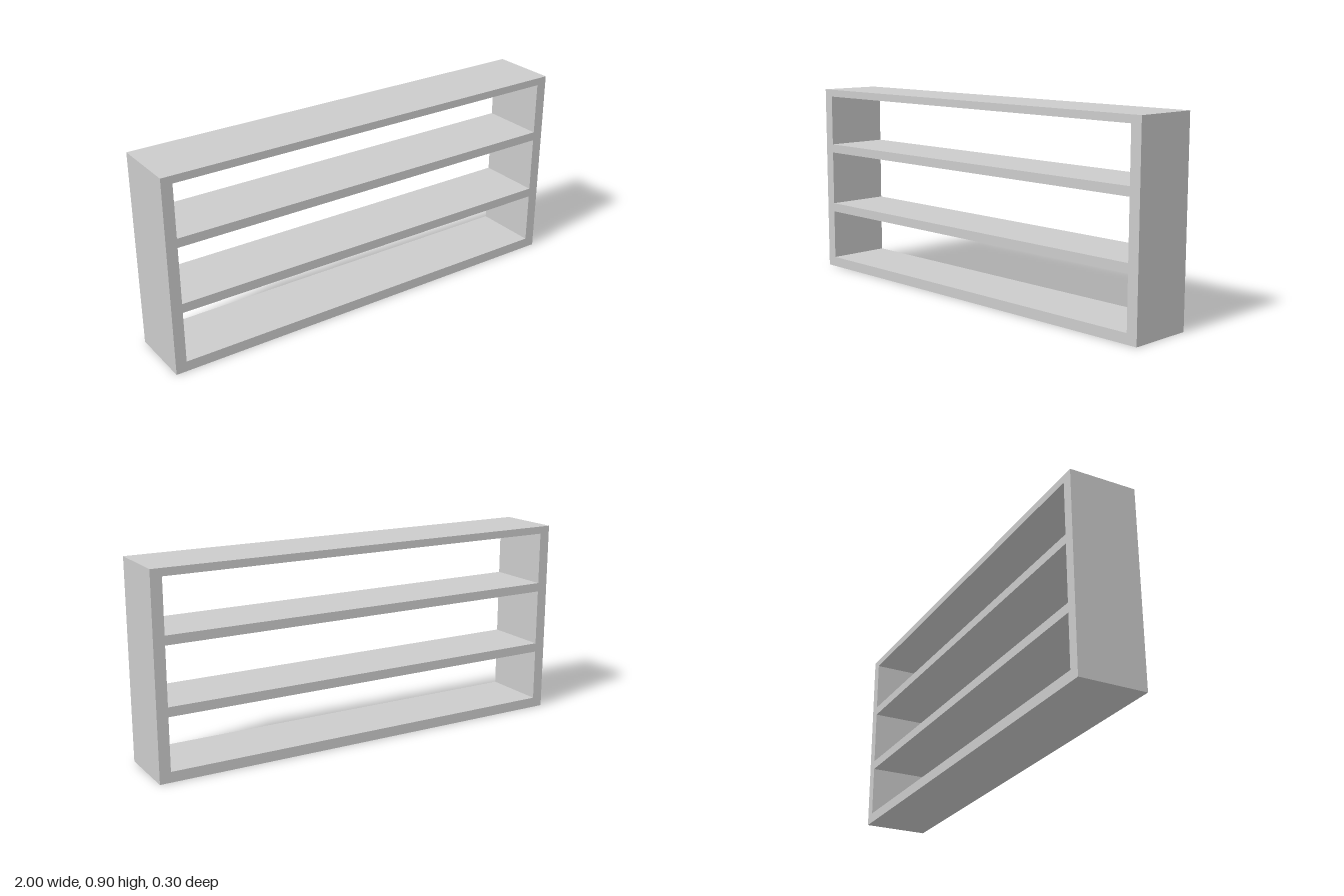
import * as THREE from 'three';

const WIDTH = 2, HEIGHT = 0.9, DEPTH = 0.304, SIDE = 0.05;
// bottom and top of each open compartment
const BAYS = [[0.047, 0.284], [0.326, 0.585], [0.626, 0.866]];

// Trace a rectangle on a Shape or Path
function rect(path, x0, y0, x1, y1) {
  path.moveTo(x0, y0);
  path.lineTo(x1, y0);
  path.lineTo(x1, y1);
  path.lineTo(x0, y1);
  path.closePath();
  return path;
}

export function createModel() {
  const group = new THREE.Group();
  group.name = 'shelfUnit';

  // Case outline with one through-opening per compartment
  const outline = rect(new THREE.Shape(), -WIDTH / 2, 0, WIDTH / 2, HEIGHT);
  const inner = WIDTH / 2 - SIDE;
  for (const [low, high] of BAYS) {
    outline.holes.push(rect(new THREE.Path(), -inner, low, inner, high));
  }

  // Sides, top, bottom and shelves form one continuous body
  const geometry = new THREE.ExtrudeGeometry(outline, { depth: DEPTH, bevelEnabled: false });
  geometry.translate(0, 0, -DEPTH / 2);
  const shelfCase = new THREE.Mesh(geometry, new THREE.MeshStandardMaterial({ color: 0xcccccc }));
  shelfCase.name = 'shelfCase';
  group.add(shelfCase);

  return group;
}
